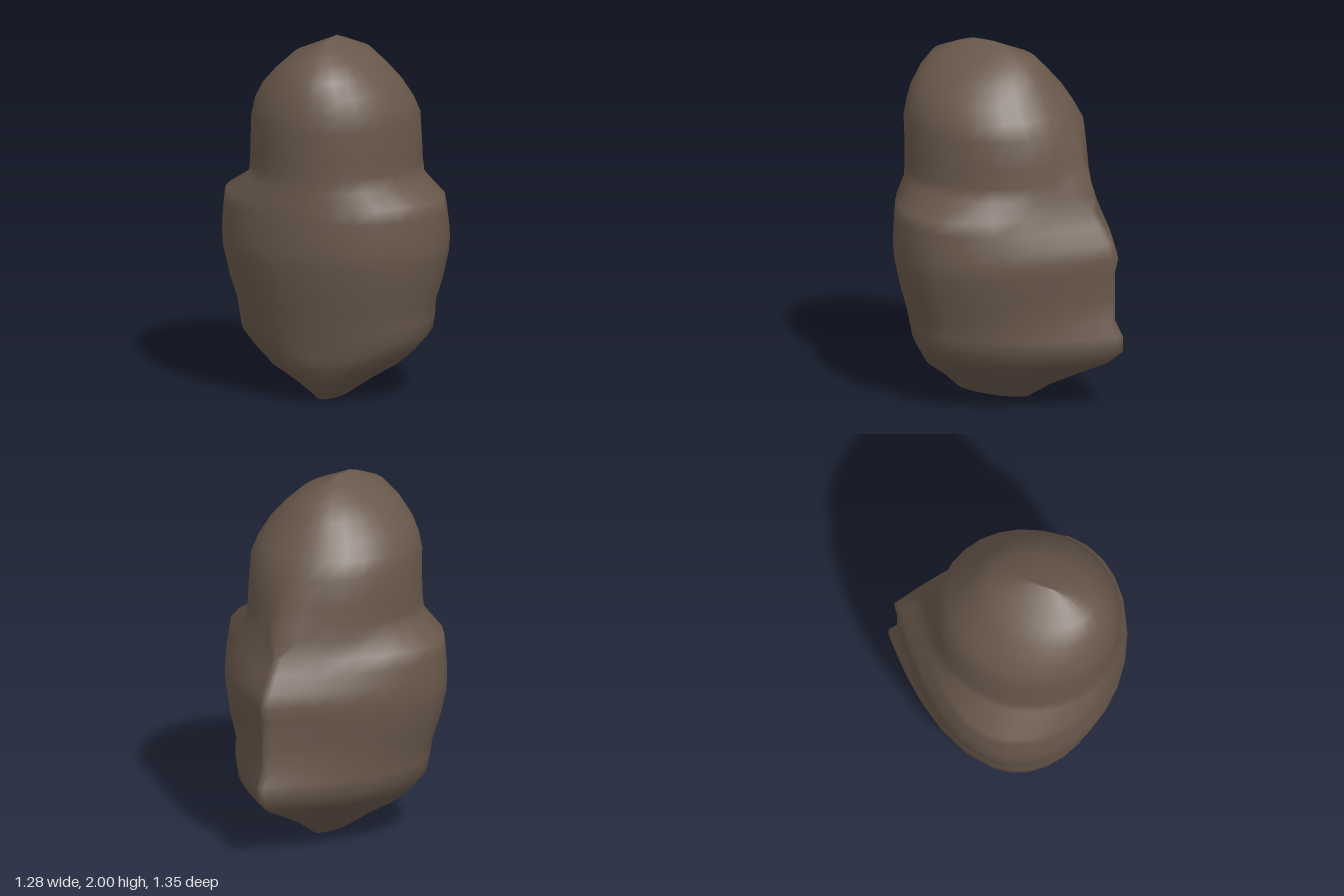
import * as THREE from 'three';

const SEGMENTS = 28;

// Cross-sections: height, half width, front z, back z,
// back pointedness (0 round, 1 teardrop), length of the spike on the back ridge
const RINGS = [
  [0, 0.08, 0.38, -0.06, 0.3, 0],
  [0.09, 0.21, 0.46, -0.2, 0.5, 0],
  [0.18, 0.36, 0.54, -0.38, 0.7, 0],
  [0.27, 0.46, 0.555, -0.57, 0.9, 0],
  [0.35, 0.53, 0.57, -0.67, 1, 0],
  [0.44, 0.545, 0.59, -0.67, 1, 0],
  [0.52, 0.555, 0.61, -0.62, 1, 0],
  [0.65, 0.6, 0.64, -0.62, 1, 0],
  [0.8, 0.635, 0.67, -0.62, 1, 0],
  [0.88, 0.64, 0.675, -0.64, 1, 0],
  [0.96, 0.637, 0.675, -0.61, 1, 0],
  [1.05, 0.63, 0.672, -0.55, 1, 0],
  [1.13, 0.62, 0.668, -0.5, 1, 0],
  [1.22, 0.48, 0.657, -0.495, 0.1, 0.09],
  [1.3, 0.47, 0.654, -0.465, 0.05, 0.08],
  [1.4, 0.465, 0.656, -0.41, 0, 0.04],
  [1.56, 0.46, 0.665, -0.35, 0, 0],
  [1.65, 0.435, 0.65, -0.29, 0, 0],
  [1.74, 0.385, 0.63, -0.23, 0, 0],
  [1.83, 0.305, 0.59, -0.16, 0, 0],
  [1.915, 0.21, 0.525, -0.09, 0, 0],
  [1.97, 0.08, 0.39, 0.05, 0, 0],
  [2, 0.008, 0.3, 0.14, 0, 0],
];

// Closed skin through the rings, round at the front and ridged at the back
function loftGeometry() {
  const points = [];
  const faces = [];
  for (const [y, w, front, back, point, spike] of RINGS) {
    const middle = Math.min(0.22, Math.max(0.15, (front + back) / 2));
    for (let j = 0; j < SEGMENTS; j++) {
      const a = (j / SEGMENTS) * Math.PI * 2;
      const c = Math.cos(a);
      const s = Math.sin(a);
      if (s >= 0) {
        points.push(c * w, y, middle + (front - middle) * s);
      } else {
        const teardrop = 1 - Math.pow(-s, 1.85);
        const across = Math.abs(c) * (1 - point) + teardrop * point;
        const z = middle + (middle - back - spike) * s - spike * Math.pow(-s, 60);
        points.push(Math.sign(c) * across * w, y, z);
      }
    }
  }
  for (let i = 0; i < RINGS.length - 1; i++) {
    for (let j = 0; j < SEGMENTS; j++) {
      const n = (j + 1) % SEGMENTS;
      const p = i * SEGMENTS;
      const q = p + SEGMENTS;
      faces.push(p + j, q + j, p + n, q + j, q + n, p + n);
    }
  }
  // Small end caps
  const bottom = points.length / 3;
  points.push(0, 0, 0.16, 0, 2, 0.22);
  const last = (RINGS.length - 1) * SEGMENTS;
  for (let j = 0; j < SEGMENTS; j++) {
    const n = (j + 1) % SEGMENTS;
    faces.push(bottom, j, n, bottom + 1, last + n, last + j);
  }
  const geometry = new THREE.BufferGeometry();
  geometry.setAttribute('position', new THREE.Float32BufferAttribute(points, 3));
  geometry.setIndex(faces);
  geometry.computeVertexNormals();
  return geometry;
}

export function createModel() {
  const group = new THREE.Group();
  const brown = new THREE.MeshStandardMaterial({ color: 0x69584b });
  brown.name = 'dull brown';

  // Domed top, shouldered body and keeled base in one continuous skin
  const body = new THREE.Mesh(loftGeometry(), brown);
  body.name = 'body';
  group.add(body);
  return group;
}
